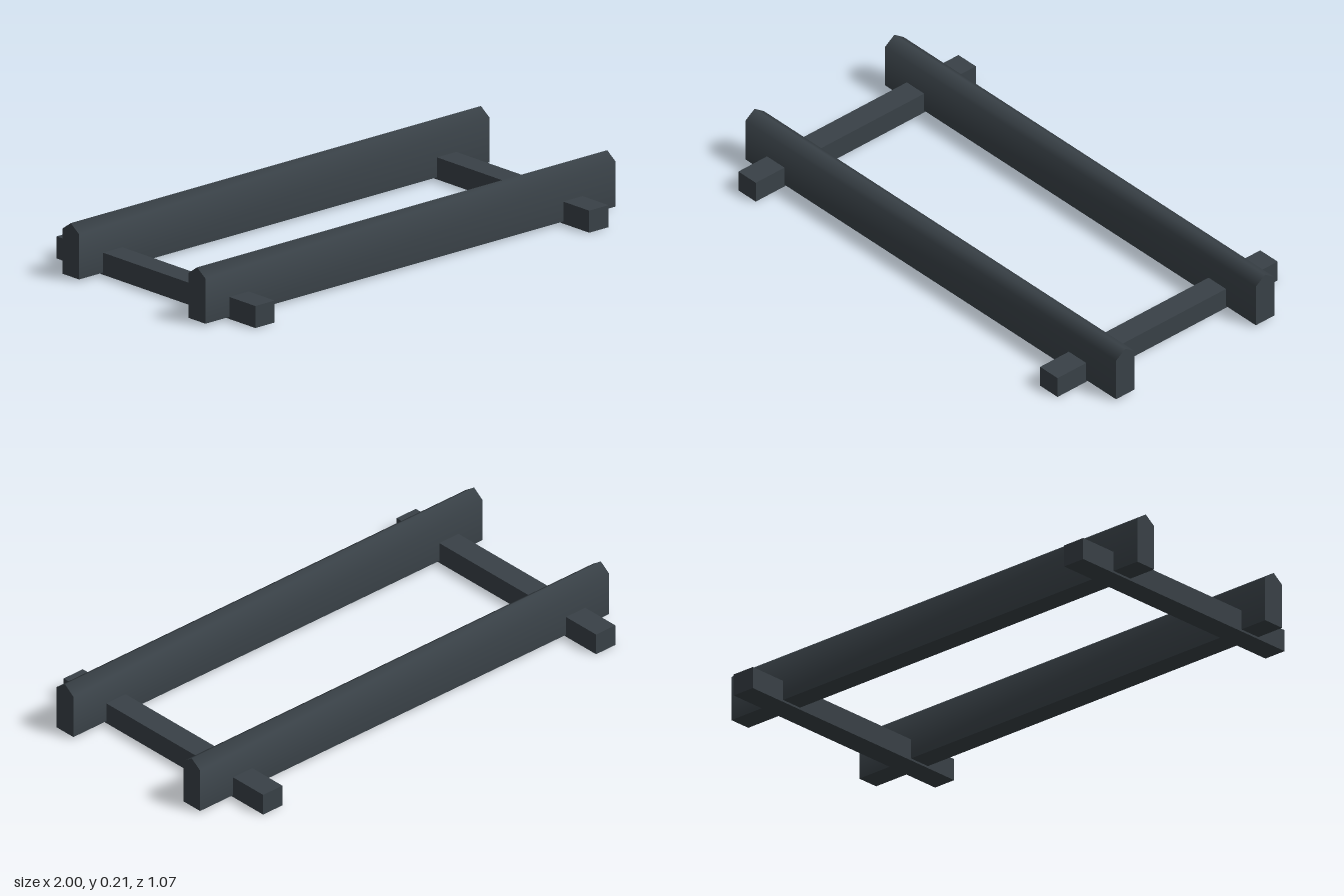
import * as THREE from 'three';
import { toCreasedNormals } from 'three/addons/utils/BufferGeometryUtils.js';

export function createModel() {
  const group = new THREE.Group();
  const darkSteel = new THREE.MeshStandardMaterial({ color: 0x394147 });

  // Long rails: a pointed profile extruded along x, softly shaded over the ridge
  const half = 0.045;
  const profile = new THREE.Shape([
    [-half, 0.008], [half, 0.008], [half, 0.18], [0, 0.212], [-half, 0.18],
  ].map(([z, y]) => new THREE.Vector2(z, y)));
  const extruded = new THREE.ExtrudeGeometry(profile, { depth: 2, bevelEnabled: false });
  extruded.translate(0, 0, -1).rotateY(Math.PI / 2);
  const railGeometry = toCreasedNormals(extruded, 1.35);
  for (const [name, z] of [['frontRail', 0.352], ['backRail', -0.33]]) {
    const rail = new THREE.Mesh(railGeometry, darkSteel);
    rail.name = name;
    rail.position.z = z;
    group.add(rail);
  }

  // Square cross bars passing under and through the rails
  const barGeometry = new THREE.BoxGeometry(0.094, 0.084, 1.074);
  for (const [name, x] of [['leftCrossBar', 0.792], ['rightCrossBar', -0.836]]) {
    const bar = new THREE.Mesh(barGeometry, darkSteel);
    bar.name = name;
    bar.position.set(x, 0.042, 0);
    group.add(bar);
  }
  return group;
}
